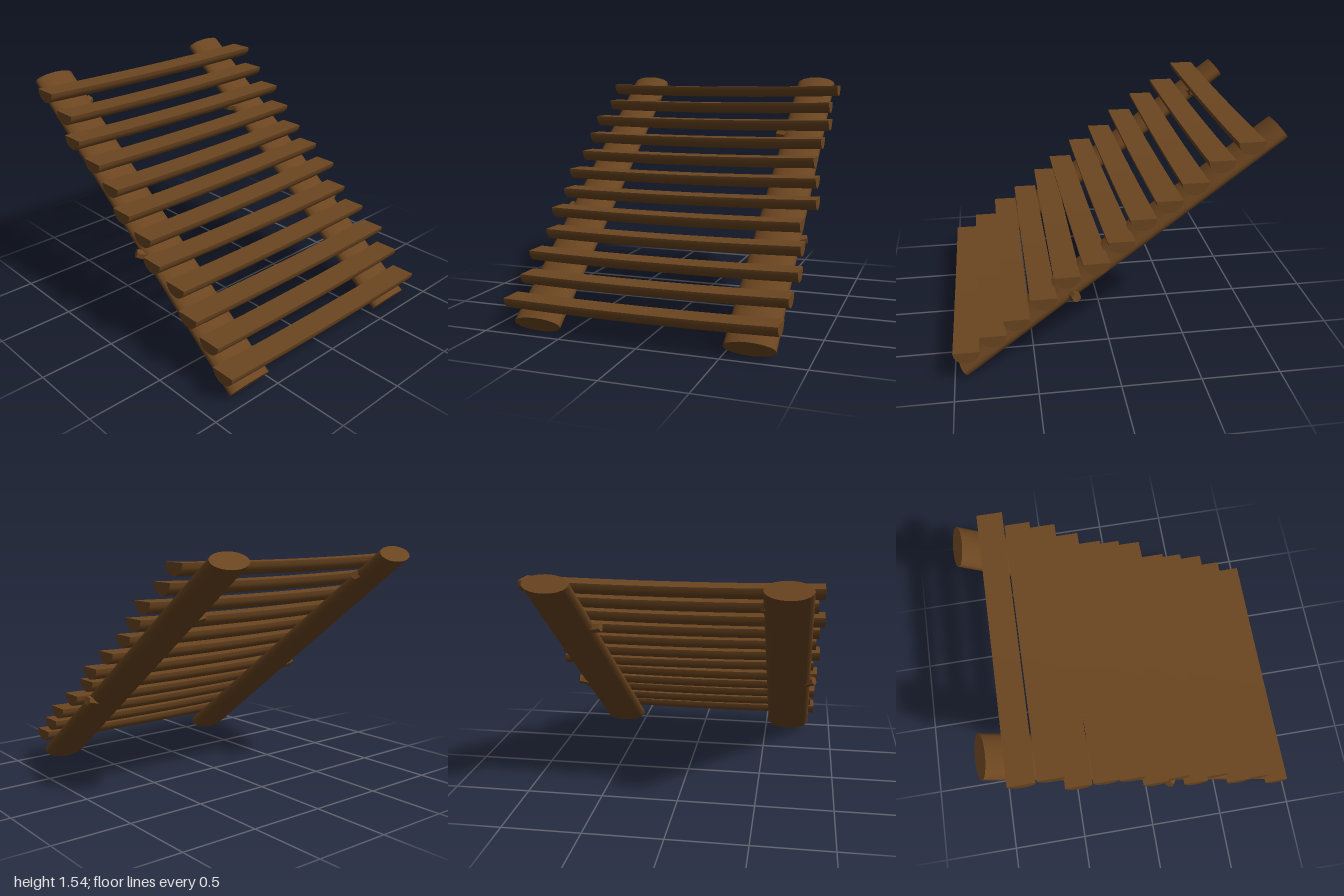
import * as THREE from 'three';
import { toCreasedNormals } from 'three/addons/utils/BufferGeometryUtils.js';

const wood = new THREE.MeshStandardMaterial({ color: 0x6b4520 });

// Left end x, right end x, left centre z, right centre z; bottom to top
const TREADS = [
  [-0.87, 0.83, 0.915, 0.92], [-0.84, 0.85, 0.765, 0.755],
  [-0.865, 0.87, 0.61, 0.61], [-0.825, 0.85, 0.455, 0.445],
  [-0.87, 0.815, 0.295, 0.3], [-0.84, 0.88, 0.175, 0.135],
  [-0.875, 0.85, 0.02, -0.015], [-0.845, 0.81, -0.125, -0.15],
  [-0.86, 0.83, -0.285, -0.295], [-0.885, 0.855, -0.45, -0.435],
  [-0.84, 0.83, -0.595, -0.59], [-0.87, 0.86, -0.755, -0.745],
];

// Split log: half-round section, flat side up, sagging a little in the middle
function treadGeometry([x0, x1, z0, z1], top) {
  const section = new THREE.Shape();
  for (let i = 0; i <= 10; i++) {
    const a = Math.PI + (i / 10) * Math.PI;
    const p = [0.08 * Math.cos(a), 0.075 * Math.sin(a)];
    if (i === 0) section.moveTo(...p); else section.lineTo(...p);
  }
  section.closePath();
  const geo = new THREE.ExtrudeGeometry(section, { depth: 1, steps: 8, bevelEnabled: false });
  geo.rotateY(Math.PI / 2);
  const pos = geo.attributes.position;
  for (let i = 0; i < pos.count; i++) {
    const t = pos.getX(i);
    const sag = 0.012 * 4 * t * (1 - t);
    pos.setXYZ(i, x0 + (x1 - x0) * t, top + pos.getY(i) - sag, pos.getZ(i) + z0 + (z1 - z0) * t);
  }
  return toCreasedNormals(geo, 0.7);
}

// Flattened log rail between two points, tapering upwards
function makeRail(bottom, top, name) {
  const axis = top.clone().sub(bottom);
  const geo = new THREE.CylinderGeometry(0.137, 0.155, axis.length(), 20, 4);
  geo.scale(1, 1, 0.065 / 0.15);
  const rail = new THREE.Mesh(geo, wood);
  rail.name = name;
  rail.position.copy(bottom).add(top).multiplyScalar(0.5);
  rail.rotation.x = -Math.atan2(-axis.z, axis.y);
  return rail;
}

// Short cut-off branch from a rail's core to its tip
function makeStub(from, to) {
  const axis = to.clone().sub(from);
  const stub = new THREE.Mesh(
    toCreasedNormals(new THREE.CylinderGeometry(0.03, 0.045, axis.length(), 6), 0.7), wood);
  stub.name = 'branchStub';
  stub.position.copy(from).add(to).multiplyScalar(0.5);
  stub.quaternion.setFromUnitVectors(new THREE.Vector3(0, 1, 0), axis.normalize());
  return stub;
}

export function createModel() {
  const group = new THREE.Group();
  group.name = 'logLadder';
  const v = (x, y, z) => new THREE.Vector3(x, y, z);

  // Rails
  group.add(makeRail(v(-0.675, 0.057, 0.937), v(-0.675, 1.495, -0.96), 'rightRail'));
  group.add(makeRail(v(0.657, 0.057, 0.937), v(0.657, 1.495, -0.96), 'leftRail'));

  // Treads
  TREADS.forEach((t, i) => {
    const tread = new THREE.Mesh(treadGeometry(t, 0.22 + i * 0.115), wood);
    tread.name = 'tread' + (i + 1);
    group.add(tread);
  });

  // Branch stubs, one outside and one inside each rail
  group.add(makeStub(v(-0.7, 0.6, 0.2), v(-0.85, 0.66, 0.12)));
  group.add(makeStub(v(0.7, 0.53, 0.29), v(0.84, 0.555, 0.25)));
  group.add(makeStub(v(-0.65, 1.31, -0.72), v(-0.53, 1.36, -0.77)));
  group.add(makeStub(v(0.63, 1.12, -0.47), v(0.47, 1.145, -0.5)));

  return group;
}
